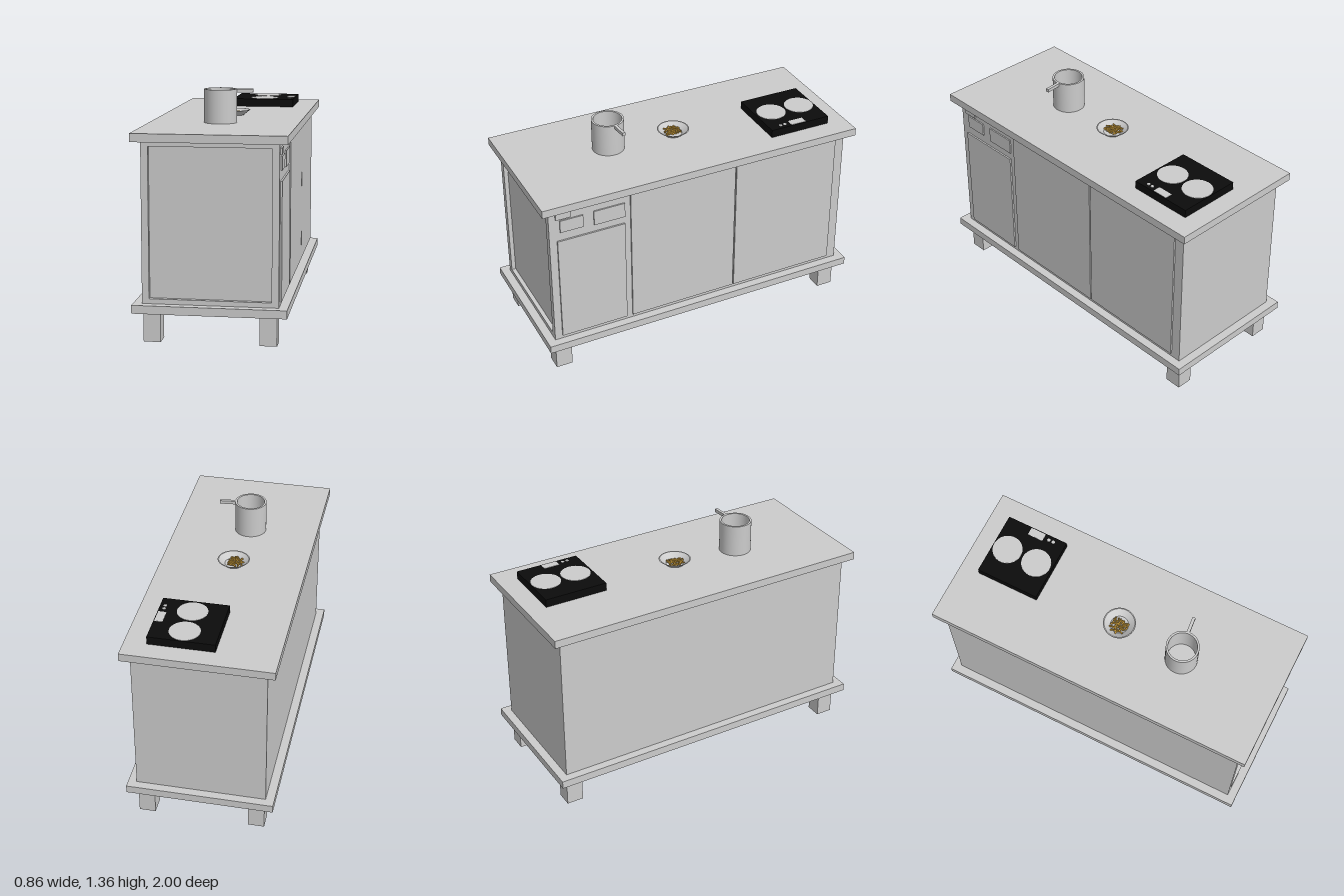
import * as THREE from 'three';

const paint = (color) => new THREE.MeshStandardMaterial({ color });
const grey = paint(0xcccccc);
const pale = paint(0xf2f2f2);
const black = paint(0x0c0c0c);
const golden = paint(0xd6a640);

export function createModel() {
  const model = new THREE.Group();

  const add = (name, geometry, material, parent = model) => {
    const mesh = new THREE.Mesh(geometry, material);
    mesh.name = name;
    parent.add(mesh);
    return mesh;
  };
  // Box given by its limits on each axis
  const block = (name, [x0, x1], [y0, y1], [z0, z1], material = grey, parent = model) => {
    const mesh = add(name, new THREE.BoxGeometry(x1 - x0, y1 - y0, z1 - z0), material, parent);
    mesh.position.set((x0 + x1) / 2, (y0 + y1) / 2, (z0 + z1) / 2);
    return mesh;
  };

  // Worktop, base slab and legs
  const top = 1.167;
  block('worktop', [-0.43, 0.43], [1.12, top], [-1, 1]);
  block('baseSlab', [-0.43, 0.43], [0.17, 0.217], [-1, 1]);
  for (const x of [-0.325, 0.323]) {
    for (const z of [-0.898, 0.898]) {
      block('leg', [x - 0.048, x + 0.048], [0, 0.17], [z - 0.05, z + 0.05]);
    }
  }

  // Cabinet body with a framed, recessed front panel
  const recess = 0.025;
  block('cabinet', [-0.38, 0.38], [0.217, 1.12], [-0.95, 0.95 - recess]);
  const rectangle = (Kind, x, y0, y1) => new Kind([
    new THREE.Vector2(-x, y0), new THREE.Vector2(x, y0),
    new THREE.Vector2(x, y1), new THREE.Vector2(-x, y1),
  ]);
  const frame = rectangle(THREE.Shape, 0.38, 0.217, 1.12);
  frame.holes.push(rectangle(THREE.Path, 0.34, 0.245, 1.092));
  add('frontFrame', new THREE.ExtrudeGeometry(frame, { depth: recess, bevelEnabled: false }), grey)
    .position.z = 0.95 - recess;

  // Doors on the left side
  block('smallDoor', [0.375, 0.39], [0.24, 0.91], [0.492, 0.905]);
  block('frontDoor', [0.375, 0.39], [0.24, 1.098], [-0.214, 0.455]);
  block('backDoor', [0.375, 0.39], [0.24, 1.098], [-0.89, -0.222]);

  // Pale control plates above the small door
  block('controlPlate', [0.375, 0.39], [1.055, 1.092], [0.82, 0.91], pale);
  block('controlPlate', [0.375, 0.388], [0.965, 1.043], [0.745, 0.885], pale);
  block('controlPlate', [0.375, 0.388], [0.955, 1.047], [0.49, 0.68], pale);

  // Hob with two rings, a display and two buttons
  const hob = new THREE.Group();
  hob.name = 'hob';
  model.add(hob);
  block('hobBase', [-0.08, 0.302], [top, 1.215], [-0.882, -0.5], black, hob);
  block('hobDisplay', [0.25, 0.297], [1.21, 1.217], [-0.73, -0.635], pale, hob);
  const disc = (name, radius, x, z) => {
    add(name, new THREE.CylinderGeometry(radius, radius, 0.007, 40), pale, hob).position.set(x, 1.2135, z);
  };
  for (const z of [-0.79, -0.6]) disc('hobRing', 0.088, 0.11, z);
  for (const z of [-0.602, -0.573]) disc('hobButton', 0.01, 0.272, z);

  // Round ware turned from a profile; separate lathes keep the corners sharp
  const turned = (name, profile, material, parent) => {
    for (let i = 1; i < profile.length; i++) {
      const pair = [profile[i - 1], profile[i]].map(([r, y]) => new THREE.Vector2(r, y));
      const mat = material.clone();
      mat.side = THREE.DoubleSide;
      add(name, new THREE.LatheGeometry(pair, 40), mat, parent);
    }
  };

  // Saucepan
  const pan = new THREE.Group();
  pan.name = 'saucepan';
  pan.position.set(-0.023, top, 0.408);
  model.add(pan);
  turned('panBody', [[0, 0], [0.095, 0], [0.095, 0.193], [0.083, 0.193], [0.083, 0.012], [0, 0.012]], grey, pan);
  const handle = add('panHandle', new THREE.BoxGeometry(0.098, 0.02, 0.018), grey, pan);
  handle.position.set(0.138, 0.183, -0.015);
  handle.rotation.y = 0.09;

  // Plate
  const plate = new THREE.Group();
  plate.name = 'plate';
  plate.position.y = top;
  model.add(plate);
  turned('plateDish', [[0, 0], [0.055, 0], [0.095, 0.032], [0.089, 0.032], [0.053, 0.005], [0, 0.005]], pale, plate);

  // Heap of curled food pieces
  let seed = 7;
  const random = () => {
    seed = (seed * 16807) % 2147483647;
    return seed / 2147483647;
  };
  for (let i = 0; i < 26; i++) {
    const around = i * 2.4;
    const reach = 0.046 * Math.sqrt(i / 26);
    const half = 0.013 + 0.006 * random();
    const curl = 0.008 + 0.006 * random();
    const curve = new THREE.QuadraticBezierCurve3(
      new THREE.Vector3(-half, 0, 0), new THREE.Vector3(0, 0.004, curl), new THREE.Vector3(half, 0, 0));
    const piece = add('foodPiece', new THREE.TubeGeometry(curve, 6, 0.005, 6), golden, plate);
    piece.material = golden;
    golden.side = THREE.DoubleSide;
    piece.position.set(-0.01 + reach * Math.cos(around), 0.011 + 0.013 * random() * (1 - reach / 0.06), reach * Math.sin(around));
    piece.rotation.set(0, random() * Math.PI * 2, (random() - 0.5) * 0.3);
  }
  return model;
}
